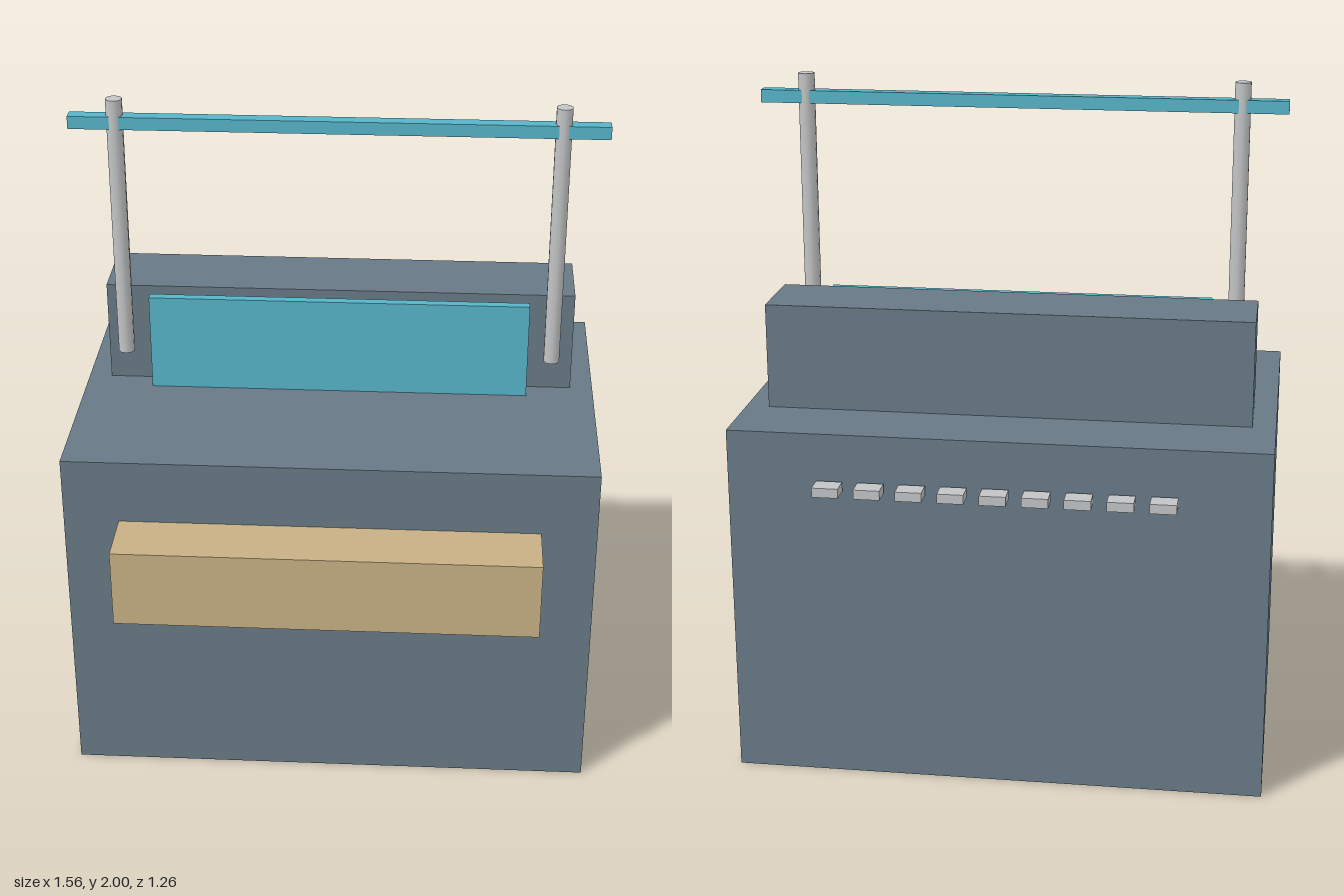
import * as THREE from 'three';

const material = (name, color) => {
  const m = new THREE.MeshStandardMaterial({ color });
  m.name = name;
  return m;
};

export function createModel() {
  const model = new THREE.Group();
  model.name = 'machine';

  const slate = material('slate grey', 0x687a86);
  const tan = material('tan', 0xc8b085);
  const teal = material('teal', 0x56b4c9);
  const silver = material('silver', 0xc3c4c5);

  const add = (name, geometry, mat, x, y, z) => {
    const mesh = new THREE.Mesh(geometry, mat);
    mesh.name = name;
    mesh.position.set(x, y, z);
    model.add(mesh);
  };

  // Box centred on x, given by its width and its y and z limits
  const box = (name, mat, width, y0, y1, z0, z1, x = 0) =>
    add(name, new THREE.BoxGeometry(width, y1 - y0, z1 - z0), mat,
      x, (y0 + y1) / 2, (z0 + z1) / 2);

  // Cabinet, raised rear housing, front tray and upright panel
  box('cabinet', slate, 1.56, 0, 1.06, -0.56, 0.45);
  box('rearHousing', slate, 1.424, 1.06, 1.372, -0.332, -0.094);
  box('frontTray', tan, 1.236, 0.625, 0.864, 0.45, 0.63);
  box('uprightPanel', teal, 1.15, 1.06, 1.36, -0.061, -0.033);

  // Overhead rail carried by two floating posts
  box('overheadRail', teal, 1.56, 1.912, 1.95, -0.031, 0.01);
  for (const side of [-1, 1]) {
    add(side > 0 ? 'leftPost' : 'rightPost',
      new THREE.CylinderGeometry(0.0245, 0.0245, 0.805, 10), silver,
      side * 0.645, 1.5975, -0.01);
  }

  // Row of small connectors behind the cabinet
  for (let i = 0; i < 9; i++) {
    box(`rearConnector${i + 1}`, silver, 0.076, 0.894, 0.922, -0.63, -0.57, (i - 4) * 0.12);
  }

  return model;
}
